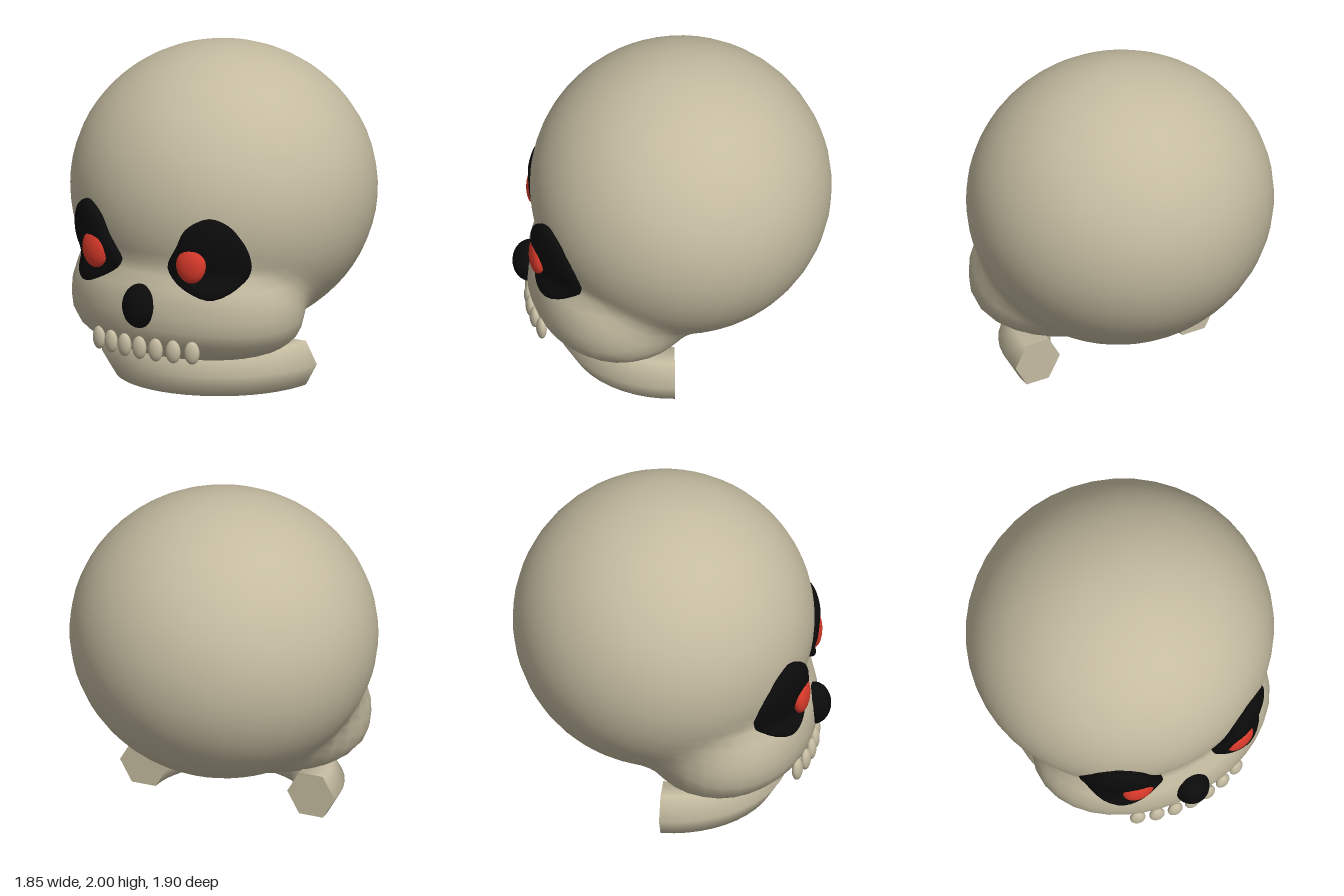
import * as THREE from 'three';
import { mergeVertices } from 'three/addons/utils/BufferGeometryUtils.js';

// Smooth blend of a round cranium and a boxier, slightly tilted muzzle (negative inside)
function skullField(x, y, z) {
  const cranium = (Math.hypot(x / 0.925, (y - 1.13) / 0.87, (z + 0.05) / 0.9) - 1) * 0.88;
  const t = 0.06, c = Math.cos(t), s = Math.sin(t);
  const dy = y - 0.53, dz = z - 0.33;
  const v = Math.abs(dy * c - dz * s) / 0.35, w = (dz * c + dy * s) / 0.54;
  const q = 2.7;
  const muzzle = (Math.pow(Math.pow(Math.hypot(x / 0.755, w), q) + Math.pow(v, q), 1 / q) - 1) * 0.5;
  const k = 0.06, h = Math.max(k - Math.abs(cranium - muzzle), 0) / k;
  return Math.min(cranium, muzzle) - h * h * k * 0.25;
}

// Outermost crossing of the skull surface along a ray
function castOut(o, d) {
  let lo = 0, hi = 1.6;
  for (let i = 0; i < 30; i++) {
    const m = (lo + hi) / 2;
    if (skullField(o.x + d.x * m, o.y + d.y * m, o.z + d.z * m) < 0) lo = m; else hi = m;
  }
  return lo;
}
const FORWARD = new THREE.Vector3(0, 0, 1);
const surfaceZ = (x, y) => castOut(new THREE.Vector3(x, y, 0), FORWARD);

function skullGeometry() {
  const g = new THREE.SphereGeometry(1, 48, 36);
  const p = g.attributes.position;
  const o = new THREE.Vector3(0, 0.9, 0.08), d = new THREE.Vector3();
  for (let i = 0; i < p.count; i++) {
    d.fromBufferAttribute(p, i).normalize();
    const r = castOut(o, d);
    p.setXYZ(i, o.x + d.x * r, o.y + d.y * r, o.z + d.z * r);
  }
  g.deleteAttribute('uv');
  g.deleteAttribute('normal');
  const merged = mergeVertices(g, 1e-4);
  merged.computeVertexNormals();
  return merged;
}

// Teardrop dome that follows the skull surface; side is +1 or -1
function socketGeometry(side) {
  const outline = [
    [0.17, 0.83], [0.25, 0.98], [0.31, 1.09], [0.43, 1.155], [0.53, 1.11], [0.595, 1.0],
    [0.613, 0.89], [0.59, 0.78], [0.53, 0.69], [0.45, 0.657], [0.34, 0.69], [0.2, 0.775],
  ].map(([x, y]) => new THREE.Vector3(x, y, 0));
  const n = 40, rings = 8;
  const edge = new THREE.CatmullRomCurve3(outline, true).getSpacedPoints(n);
  const pos = [], idx = [];
  for (let r = 0; r <= rings + 1; r++) {
    const s = Math.sin(Math.min(r / rings, 1) * Math.PI / 2);
    for (let j = 0; j < n; j++) {
      const x = 0.41 + (edge[j].x - 0.41) * s, y = 0.9 + (edge[j].y - 0.9) * s;
      const lift = r > rings ? -0.06 : 0.02 + 0.07 * Math.sqrt(Math.max(0, 1 - s * s));
      pos.push(x * side, y, surfaceZ(x, y) + lift);
    }
  }
  for (let r = 0; r <= rings; r++) {
    for (let j = 0; j < n; j++) {
      const a = r * n + j, b = r * n + (j + 1) % n, c = a + n, d = b + n;
      // the outline runs clockwise on the +x side
      if (side > 0) idx.push(a, d, c, a, b, d);
      else idx.push(a, c, d, a, d, b);
    }
  }
  const g = new THREE.BufferGeometry();
  g.setAttribute('position', new THREE.Float32BufferAttribute(pos, 3));
  g.setIndex(idx);
  g.computeVertexNormals();
  return g;
}

export function createModel() {
  const model = new THREE.Group();
  const material = (name, color) => {
    const m = new THREE.MeshStandardMaterial({ color });
    m.name = name;
    return m;
  };
  const bone = material('bone', 0xc4bba0);
  const black = material('black', 0x0b0b0b);
  const red = material('red', 0xe03c2c);

  const add = (name, geometry, mat, parent = model) => {
    const mesh = new THREE.Mesh(geometry, mat);
    mesh.name = name;
    parent.add(mesh);
    return mesh;
  };
  const ball = new THREE.SphereGeometry(1, 24, 16);
  const ellipsoid = (name, mat, position, radii, yaw = 0, parent = model) => {
    const mesh = add(name, ball, mat, parent);
    mesh.position.set(...position);
    mesh.scale.set(...radii);
    mesh.rotation.y = yaw;
  };

  add('skull', skullGeometry(), bone);

  // Eyes
  for (const side of [1, -1]) {
    const label = side > 0 ? 'left' : 'right';
    const socket = add(label + 'EyeSocket', socketGeometry(side), black);
    socket.material.side = THREE.DoubleSide;
    ellipsoid(label + 'Eye', red, [0.342 * side, 0.88, 0.813], [0.097, 0.12, 0.05], 0.15 * side);
  }

  // Nose
  ellipsoid('nose', black, [0, 0.58, 0.85], [0.107, 0.135, 0.104]);

  // Upper teeth
  const teeth = new THREE.Group();
  teeth.name = 'teeth';
  model.add(teeth);
  for (let i = -3; i <= 3; i++) {
    const x = i * 0.111;
    const z = 0.855 - 0.6 * x * x;
    ellipsoid('tooth', bone, [x, 0.323, z], [0.047, 0.07, 0.03], x * 0.9, teeth);
  }

  // Lower jaw: half ring with a six-sided section and flat ends
  const jaw = new THREE.Group();
  jaw.name = 'jaw';
  jaw.position.y = 0.134;
  model.add(jaw);
  const R = 0.545, r = 0.155;
  add('jawRing', new THREE.TorusGeometry(R, r, 6, 24, Math.PI).rotateX(Math.PI / 2), bone, jaw);
  for (const side of [1, -1]) {
    const cap = add('jawEnd', new THREE.CircleGeometry(r, 6), bone, jaw);
    cap.rotation.y = Math.PI;
    cap.position.x = side * R;
  }
  return model;
}
